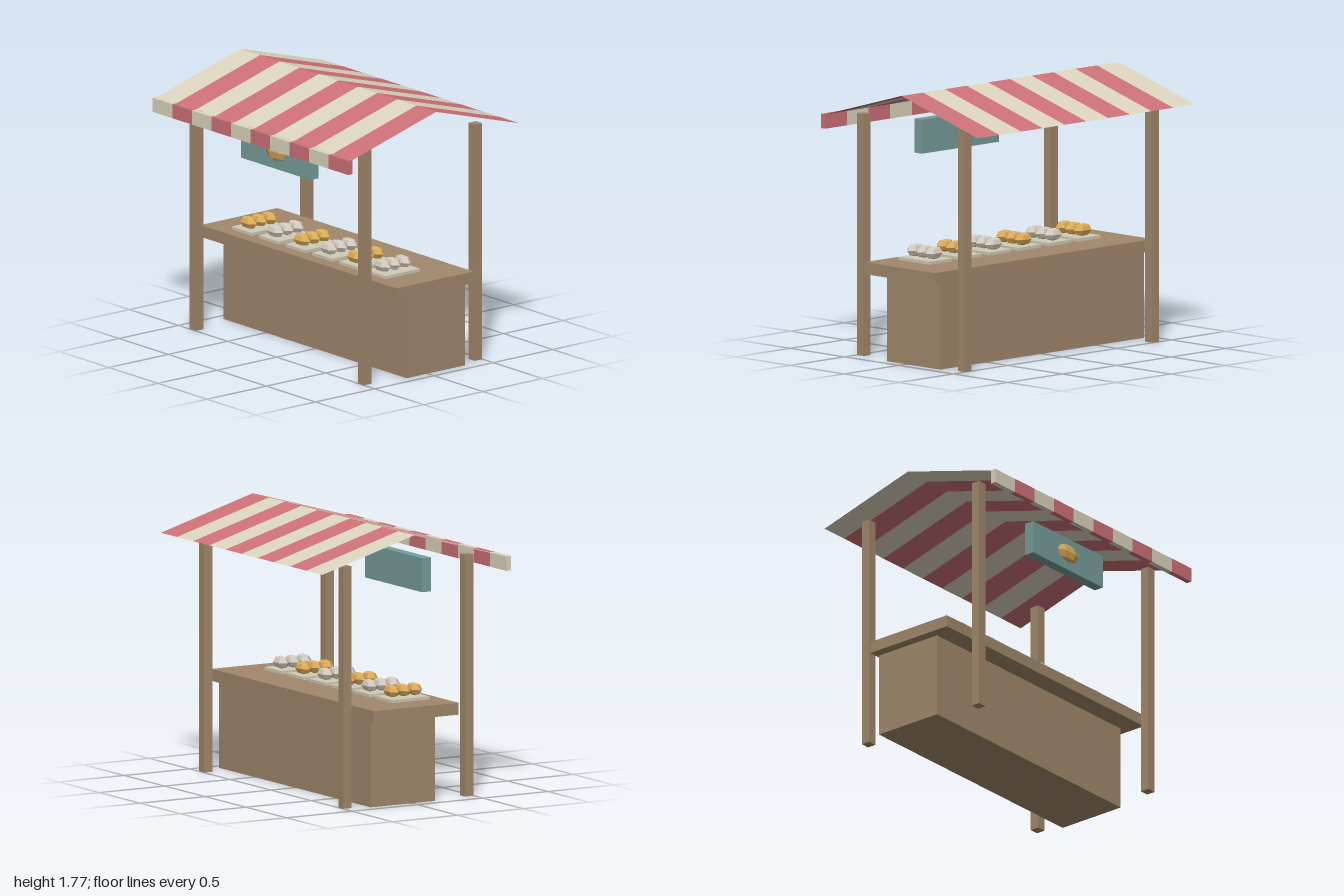
import * as THREE from 'three';

const mat = (name, color, extra = {}) => {
  const m = new THREE.MeshStandardMaterial({ color, ...extra });
  m.name = name;
  return m;
};

export function createModel() {
  const stall = new THREE.Group();
  stall.name = 'marketStall';

  const wood = mat('wood', 0xa2886c);
  const cream = mat('creamCloth', 0xdcd4be, { side: THREE.DoubleSide });
  const red = mat('redCloth', 0xce7178, { side: THREE.DoubleSide });
  const teal = mat('tealSign', 0x769e9b);
  const golden = mat('goldenCrust', 0xdcaa58, { flatShading: true });
  const pale = mat('paleCrust', 0xd2cabc, { flatShading: true });
  const trayMat = mat('tray', 0xd0cab6);

  const add = (parent, name, geometry, material) => {
    const mesh = new THREE.Mesh(geometry, material);
    mesh.name = name;
    parent.add(mesh);
    return mesh;
  };

  // Box given by its lower and upper limits on each axis
  const box = (parent, name, material, [x0, x1], [y0, y1], [z0, z1]) => {
    const mesh = add(parent, name, new THREE.BoxGeometry(x1 - x0, y1 - y0, z1 - z0), material);
    mesh.position.set((x0 + x1) / 2, (y0 + y1) / 2, (z0 + z1) / 2);
    return mesh;
  };

  // Faceted loaf, six sides around and four rows high
  const loafGeometry = new THREE.SphereGeometry(1, 6, 4);
  const loaf = (parent, name, material, position, radii) => {
    const mesh = add(parent, name, loafGeometry, material);
    mesh.position.set(...position);
    mesh.scale.set(...radii);
  };

  // Counter
  box(stall, 'counterBody', wood, [-0.933, 0.933], [0, 0.565], [-0.315, 0.175]);
  box(stall, 'counterTop', wood, [-1, 1], [0.565, 0.644], [-0.333, 0.315]);

  // Four posts
  for (const sx of [-1, 1]) {
    for (const sz of [-1, 1]) {
      const x = sx * 0.858, z = sz * 0.465;
      box(stall, 'post', wood, [x - 0.032, x + 0.032], [0, 1.592], [z - 0.031, z + 0.031]);
    }
  }

  // Striped awning: each strip runs over the ridge, with a valance piece in front
  const awning = new THREE.Group();
  awning.name = 'awning';
  stall.add(awning);
  const slope = (x0, x1, [zA, yA], [zB, yB]) => {
    const g = new THREE.BufferGeometry();
    g.setAttribute('position', new THREE.Float32BufferAttribute(
      [x0, yA, zA, x1, yA, zA, x1, yB, zB, x0, yB, zB], 3));
    g.setIndex([0, 1, 2, 0, 2, 3]);
    g.computeVertexNormals();
    return g;
  };
  const front = [0.682, 1.574], ridge = [-0.02, 1.774], back = [-0.722, 1.574];
  const stripes = 10, half = 0.996, w = (2 * half) / stripes;
  for (let i = 0; i < stripes; i++) {
    const x0 = -half + i * w, x1 = x0 + w;
    const cloth = i % 2 ? red : cream;
    add(awning, 'frontRoofStripe', slope(x0, x1, front, ridge), cloth);
    add(awning, 'backRoofStripe', slope(x0, x1, ridge, back), cloth);
    box(awning, 'valanceStripe', cloth, [x0, x1], [1.479, 1.574], [0.683, 0.72]);
  }

  // Hanging sign with a loaf emblem
  box(stall, 'signBoard', teal, [-0.353, 0.353], [1.27, 1.494], [0.438, 0.506]);
  loaf(stall, 'signLoaf', golden, [0, 1.388, 0.506], [0.104, 0.062, 0.027]);

  // Trays, each with three loaves in a row
  for (let i = 0; i < 6; i++) {
    const x = -0.685 + i * 0.2725;
    const tray = new THREE.Group();
    tray.name = 'breadTray';
    stall.add(tray);
    box(tray, 'tray', trayMat, [x - 0.102, x + 0.102], [0.644, 0.664], [-0.064, 0.226]);
    for (let k = 0; k < 3; k++) {
      loaf(tray, 'loaf', i % 2 ? pale : golden, [x, 0.705, k * 0.084], [0.078, 0.042, 0.046]);
    }
  }

  return stall;
}
